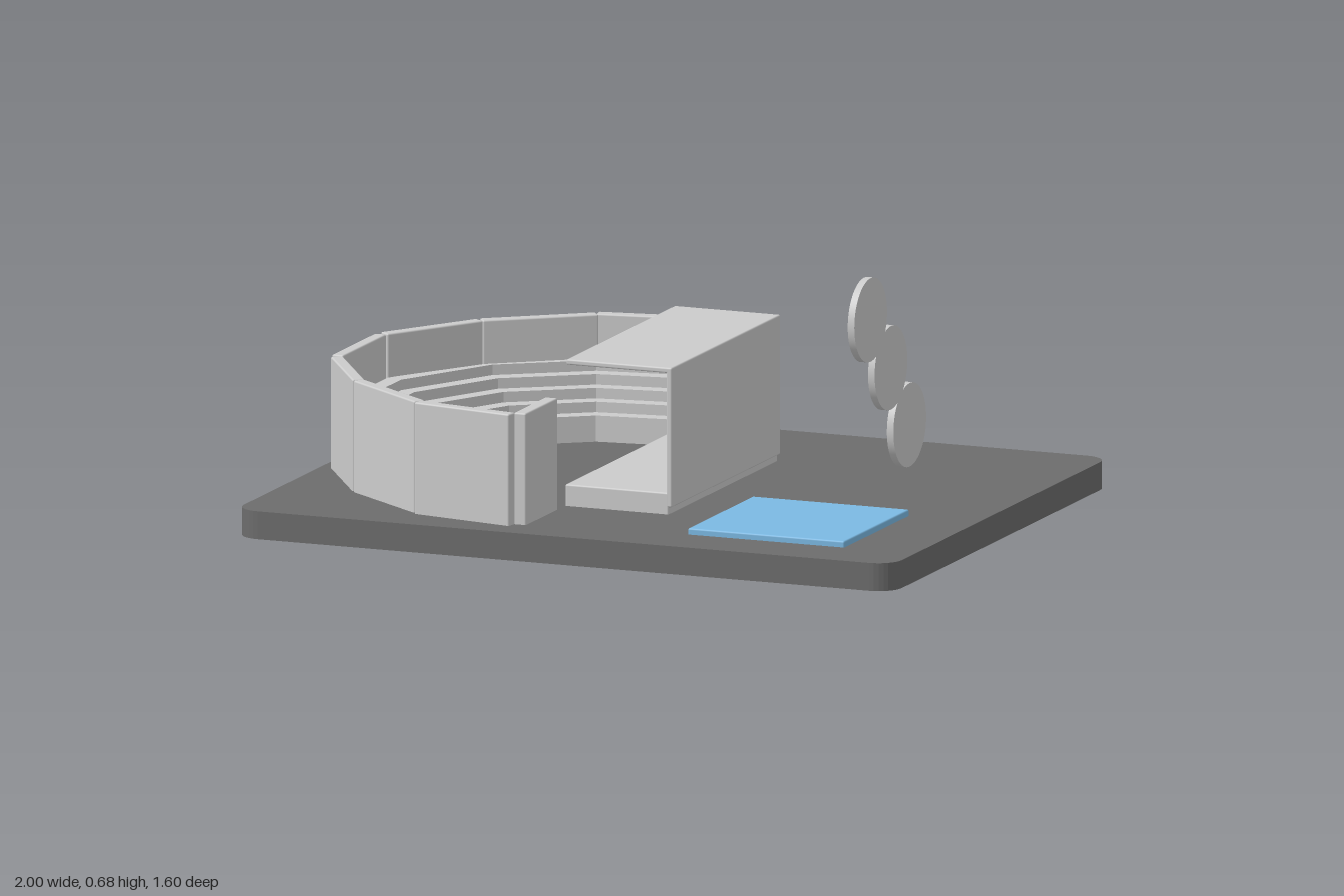
import * as THREE from 'three';
import { RoundedBoxGeometry } from 'three/addons/geometries/RoundedBoxGeometry.js';

const grey = new THREE.MeshStandardMaterial({ color: 0xcccccc });
const dark = new THREE.MeshStandardMaterial({ color: 0x6c6c6c });
const blue = new THREE.MeshStandardMaterial({ color: 0x7bb9e3 });

const BASE_TOP = 0.08;
const AXIS_Z = -0.015; // mirror line of the seating bowl

export function createModel() {
  const model = new THREE.Group();
  model.name = 'openAirTheatre';

  function add(name, geometry, material = grey, parent = model) {
    const mesh = new THREE.Mesh(geometry, material);
    mesh.name = name;
    parent.add(mesh);
    return mesh;
  }

  // Box given by its minimum and maximum corners, with softened edges
  function slab(name, min, max, material = grey, parent = model) {
    const size = max.map((v, i) => v - min[i]);
    const mesh = add(name, new RoundedBoxGeometry(...size, 2, 0.005), material, parent);
    mesh.position.set(...max.map((v, i) => (v + min[i]) / 2));
    return mesh;
  }

  // Plan outline (x, z) raised between two heights
  function raise(points, y0, y1) {
    const shape = new THREE.Shape(points.map(([x, z]) => new THREE.Vector2(x, -z)));
    const geometry = new THREE.ExtrudeGeometry(shape, { depth: y1 - y0, bevelEnabled: false });
    return geometry.rotateX(-Math.PI / 2).translate(0, y0, 0);
  }

  // Base plate with rounded corners
  const corners = [];
  const r = 0.07;
  [[1, 1], [-1, 1], [-1, -1], [1, -1]].forEach(([sx, sz], i) => {
    for (let k = 0; k <= 8; k++) {
      const a = (i + k / 8) * Math.PI / 2;
      corners.push([sx * (1 - r) + r * Math.cos(a), sz * (0.8 - r) + r * Math.sin(a)]);
    }
  });
  add('basePlate', raise(corners, 0, BASE_TOP), dark);

  // Stage: floor, back wall and canopy
  const stage = new THREE.Group();
  stage.name = 'stage';
  model.add(stage);
  slab('stageFloor', [-0.16, 0.075, -0.4], [0.155, 0.142, 0.4], grey, stage);
  slab('stageWall', [0.148, 0.1, -0.4], [0.165, 0.5, 0.4], grey, stage);
  slab('stageRoof', [-0.157, 0.485, -0.4], [0.165, 0.501, 0.4], grey, stage);

  // Pool
  slab('pool', [0.31, 0.07, 0.155], [0.785, 0.098, 0.632], blue);

  // Sculpture of three overlapping upright discs
  const sculpture = new THREE.Group();
  sculpture.name = 'discSculpture';
  model.add(sculpture);
  [[0.556, -0.183], [0.39, -0.332], [0.2, -0.47]].forEach(([y, z]) => {
    const disc = add('disc', new THREE.CylinderGeometry(0.12, 0.12, 0.02, 64), grey, sculpture);
    disc.rotation.z = Math.PI / 2;
    disc.position.set(0.518, y, z);
  });

  // Stepped seating: tiers blended between inner and outer half outlines
  const seating = new THREE.Group();
  seating.name = 'seating';
  seating.position.z = AXIS_Z;
  model.add(seating);
  const inner = [[-0.195, 0.466], [-0.418, 0.435], [-0.61, 0.3], [-0.712, 0.107]];
  const outer = [[-0.195, 0.7], [-0.505, 0.65], [-0.765, 0.475], [-0.937, 0.16]];
  const arc = (t) => {
    const half = inner.map(([x, z], i) => [
      THREE.MathUtils.lerp(x, outer[i][0], t),
      THREE.MathUtils.lerp(z, outer[i][1], t),
    ]);
    return [...half, ...half.map(([x, z]) => [x, -z]).reverse()];
  };
  const tiers = 5;
  for (let i = 0; i < tiers; i++) {
    const outline = [...arc(i / tiers), ...arc((i + 1) / tiers).reverse()];
    add('seatTier', raise(outline, BASE_TOP, 0.155 + i * 0.03), grey, seating);
  }

  // Wall panels around the seating, placed by the ends of their outer faces
  const thickness = 0.035;
  function wallPanel([x0, z0], [x1, z1]) {
    const dx = x1 - x0, dz = z1 - z0;
    const length = Math.hypot(dx, dz);
    const panel = add('wallPanel', new RoundedBoxGeometry(thickness, 0.4, length, 2, 0.005), grey, seating);
    panel.rotation.y = Math.atan2(dx, dz);
    const k = thickness / 2 / length;
    panel.position.set((x0 + x1) / 2 + dz * k, 0.2, (z0 + z1) / 2 - dx * k);
  }
  wallPanel([-0.975, -0.158], [-0.975, 0.158]);
  const sidePanels = [
    [[-0.968, 0.183], [-0.79, 0.455]],
    [[-0.783, 0.465], [-0.515, 0.666]],
    [[-0.51, 0.678], [-0.2, 0.733]],
  ];
  sidePanels.forEach(([a, b]) => {
    wallPanel(a, b);
    wallPanel([b[0], -b[1]], [a[0], -a[1]]);
  });

  // Panels closing both ends of the tiers
  slab('endPanel', [-0.197, 0, 0.47], [-0.16, 0.4, 0.703], grey, seating);
  slab('endPanel', [-0.197, 0, -0.703], [-0.16, 0.4, -0.47], grey, seating);

  return model;
}
